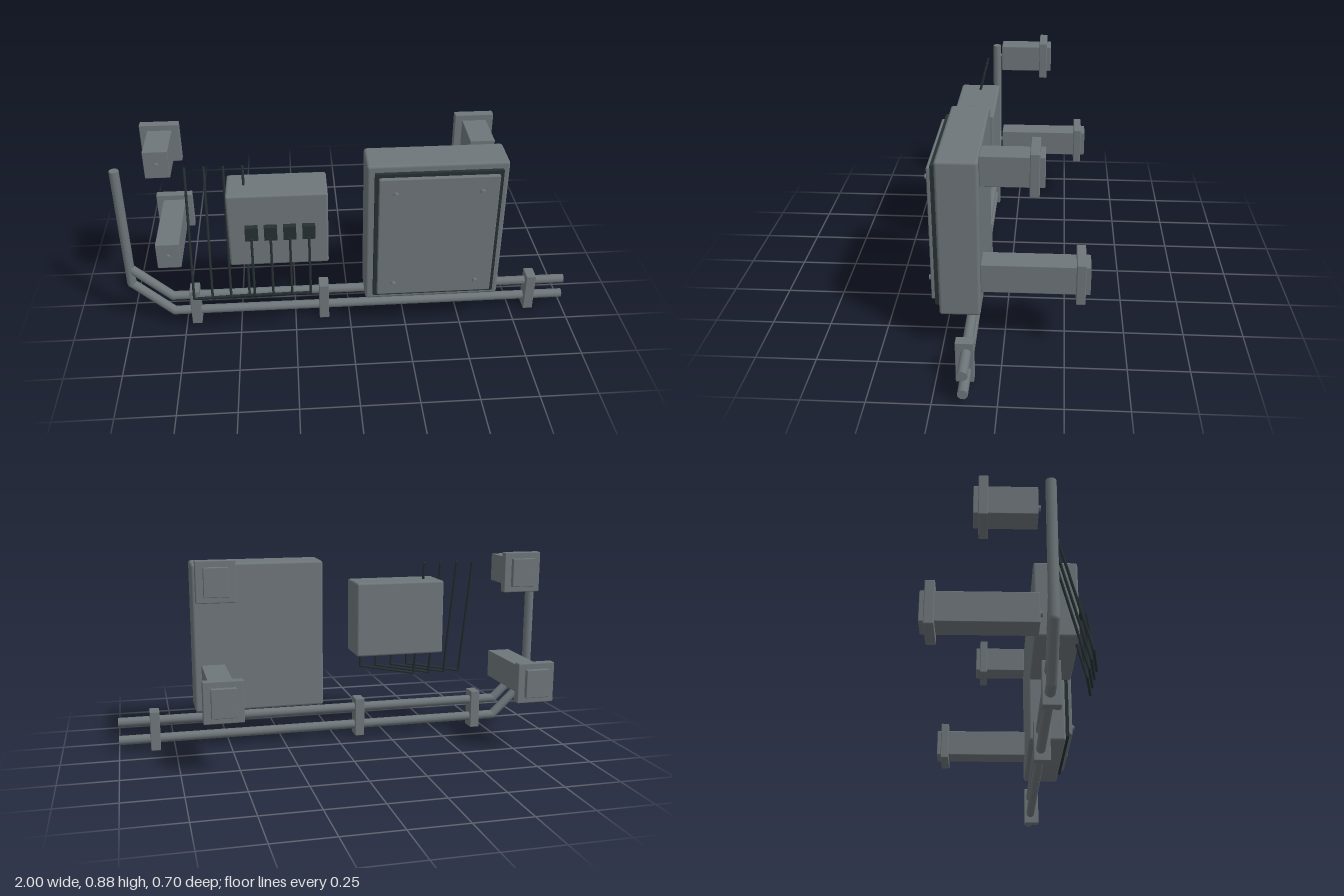
import * as THREE from 'three';
import { RoundedBoxGeometry } from 'three/addons/geometries/RoundedBoxGeometry.js';

const grey = new THREE.MeshStandardMaterial({ color: 0x6e767a });
grey.name = 'painted steel grey';
const dark = new THREE.MeshStandardMaterial({ color: 0x263032 });
dark.name = 'rubber black';

function add(parent, name, geometry, material) {
  const mesh = new THREE.Mesh(geometry, material);
  mesh.name = name;
  parent.add(mesh);
  return mesh;
}

// Box given by its limits on each axis, with optional rounded edges
function block(parent, name, [x0, x1], [y0, y1], [z0, z1], material, radius = 0) {
  const size = [x1 - x0, y1 - y0, z1 - z0];
  const geometry = radius
    ? new RoundedBoxGeometry(...size, 2, radius)
    : new THREE.BoxGeometry(...size);
  const mesh = add(parent, name, geometry, material);
  mesh.position.set((x0 + x1) / 2, (y0 + y1) / 2, (z0 + z1) / 2);
  return mesh;
}

// Round bar following straight runs, with balls filling the bends
function bar(parent, name, points, radius, sides, material) {
  const group = new THREE.Group();
  group.name = name;
  parent.add(group);
  const up = new THREE.Vector3(0, 1, 0);
  const path = points.map((p) => new THREE.Vector3(...p));
  for (let i = 0; i + 1 < path.length; i++) {
    const run = path[i + 1].clone().sub(path[i]);
    const rod = add(group, name + 'Run', new THREE.CylinderGeometry(radius, radius, run.length(), sides), material);
    rod.position.copy(path[i]).addScaledVector(run, 0.5);
    rod.quaternion.setFromUnitVectors(up, run.normalize());
    if (i > 0) {
      const bend = add(group, name + 'Bend', new THREE.SphereGeometry(radius, sides, 8), material);
      bend.position.copy(path[i]);
    }
  }
}

// Bolt head facing the front
function bolt(parent, x, y, z0, z1) {
  const geometry = new THREE.CylinderGeometry(0.011, 0.011, z1 - z0, 10).rotateX(Math.PI / 2);
  add(parent, 'bolt', geometry, grey).position.set(x, y, (z0 + z1) / 2);
}

export function createModel() {
  const model = new THREE.Group();
  model.name = 'electricalCabinets';

  // Large cabinet with gasket, door and corner bolts
  const cabinet = new THREE.Group();
  cabinet.name = 'largeCabinet';
  model.add(cabinet);
  block(cabinet, 'cabinetBody', [0.062, 0.655], [0.168, 0.845], [0.09, 0.257], grey, 0.012);
  block(cabinet, 'doorGasket', [0.094, 0.628], [0.2, 0.815], [0.25, 0.275], dark);
  block(cabinet, 'door', [0.11, 0.612], [0.215, 0.8], [0.26, 0.292], grey, 0.005);
  for (const x of [0.18, 0.54]) for (const y of [0.275, 0.73]) bolt(cabinet, x, y, 0.29, 0.308);

  // Junction box with four sockets, each feeding a cable
  const junction = new THREE.Group();
  junction.name = 'junctionBox';
  model.add(junction);
  block(junction, 'junctionBody', [-0.521, -0.099], [0.388, 0.735], [0.086, 0.27], grey, 0.01);
  for (let i = 0; i < 4; i++) {
    const x = -0.422 + i * 0.08;
    const far = -0.687 + i * 0.08;
    block(junction, 'socket', [x - 0.027, x + 0.027], [0.53, 0.593], [0.26, 0.296], dark);
    bar(junction, 'cable', [
      [x, 0.55, 0.312], [x, 0.285, 0.343], [far, 0.243, 0.3], [far, 0.815, 0.155],
    ], 0.006, 6, dark);
  }

  // Wall brackets: short ones above, long ones below
  for (const [side, x] of [['right', -0.81], ['left', 0.57]]) {
    for (const [level, y, end, flange] of [['Upper', 0.794, -0.16, -0.14], ['Lower', 0.325, -0.348, -0.328]]) {
      const bracket = new THREE.Group();
      bracket.name = side + level + 'Bracket';
      model.add(bracket);
      block(bracket, 'bracketArm', [x - 0.053, x + 0.053], [y - 0.063, y + 0.063], [end, 0.09], grey, 0.003);
      block(bracket, 'bracketFlange', [x - 0.085, x + 0.085], [y - 0.09, y + 0.09], [flange, flange + 0.038], grey, 0.004);
      if (side === 'right') bolt(bracket, x, y, 0.085, 0.102);
    }
  }

  // Two conduits that bend up and join in one riser
  const z = 0.13;
  bar(model, 'lowerConduit', [[1, 0.051, z], [-0.805, 0.051, z], [-0.979, 0.217, z], [-0.979, 0.797, z]], 0.021, 10, grey);
  bar(model, 'upperConduit', [[1, 0.136, z], [-0.805, 0.136, z], [-0.979, 0.3, z]], 0.021, 10, grey);

  // Clamps holding the conduits
  for (const x of [-0.703, -0.118, 0.838]) {
    block(model, 'conduitClamp', [x - 0.022, x + 0.022], [0, 0.182], [0.1, 0.172], grey, 0.003);
  }

  return model;
}
